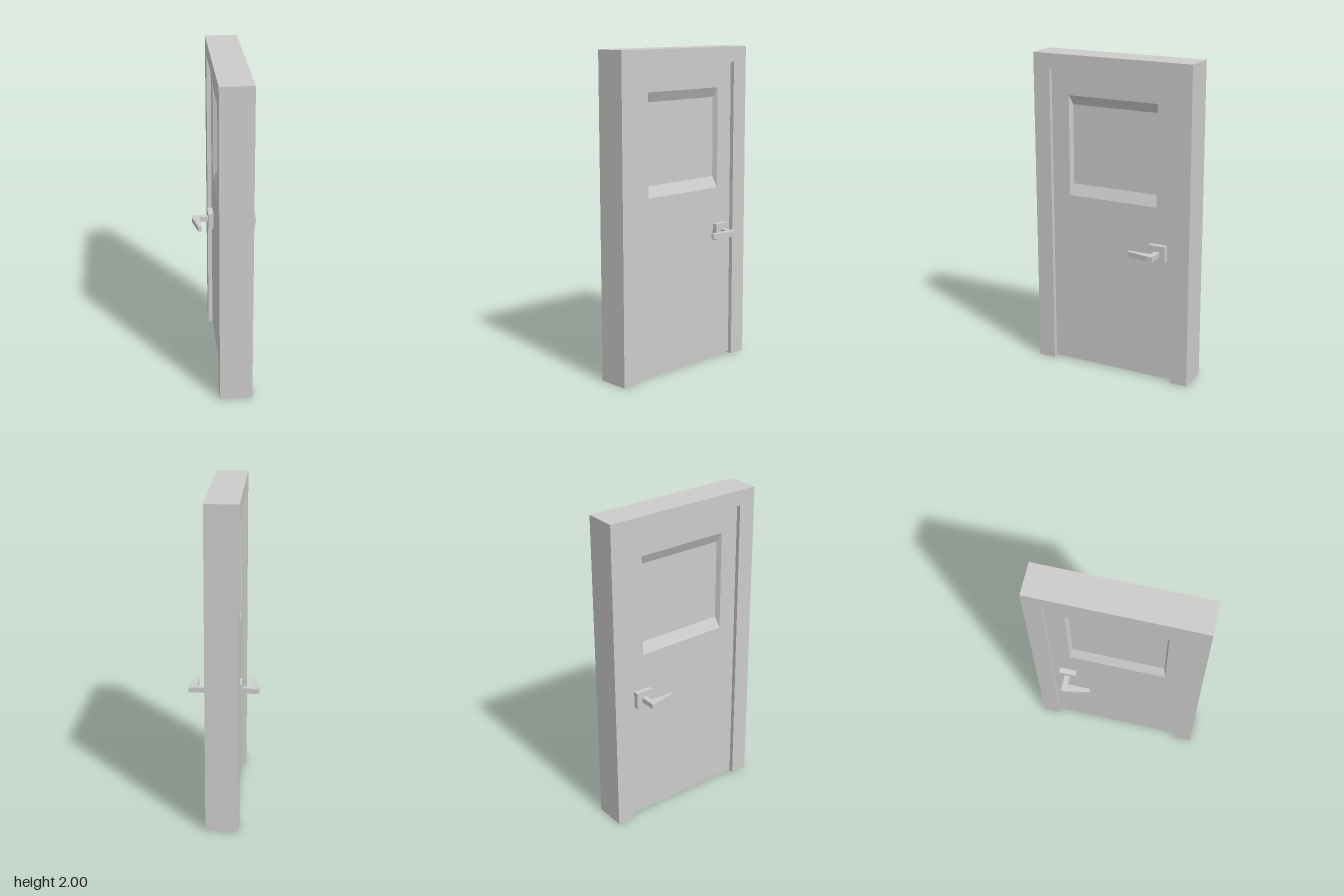
import * as THREE from 'three';

const grey = new THREE.MeshStandardMaterial({ color: 0xcccccc, flatShading: true });

function part(name, geometry, parent) {
  const mesh = new THREE.Mesh(geometry, grey);
  mesh.name = name;
  parent.add(mesh);
  return mesh;
}

const outline = (points) => points.map(([x, y]) => new THREE.Vector2(x, y));
const rect = (w, y0, y1) => outline([[-w, y0], [w, y0], [w, y1], [-w, y1]]);
const extrude = (shape, depth) => new THREE.ExtrudeGeometry(shape, { depth, bevelEnabled: false });

const LEAF = { w: 0.415, y0: 0.01, y1: 1.905, half: 0.073 };
const OUTER = { w: 0.297, y0: 1.12, y1: 1.75 }; // window rim at the leaf surface
const INNER = { w: 0.284, y0: 1.19, y1: 1.69 }; // window rim at the pane
const RECESS = 0.03;

// Leaf skin with a window opening whose sides slope inwards to the pane
function leafSkin(side) {
  const shape = new THREE.Shape(rect(LEAF.w, LEAF.y0, LEAF.y1));
  shape.holes.push(new THREE.Path(rect(OUTER.w, OUTER.y0, OUTER.y1)));
  const geo = extrude(shape, RECESS);
  const pos = geo.attributes.position;
  for (let i = 0; i < pos.count; i++) {
    const x = pos.getX(i), y = pos.getY(i);
    if (pos.getZ(i) > RECESS / 2 || Math.abs(x) > OUTER.w + 0.001) continue;
    pos.setXY(i, Math.sign(x) * INNER.w, y < 1.4 ? INNER.y0 : INNER.y1);
  }
  geo.computeVertexNormals();
  geo.rotateY(side * Math.PI / 2);
  geo.translate(side * (LEAF.half - RECESS), 0, 0);
  return geo;
}

// Square plate and angled, tapering lever
function handle(side) {
  const group = new THREE.Group();
  group.name = side > 0 ? 'leftHandle' : 'rightHandle';

  const plate = part('handlePlate', new THREE.BoxGeometry(0.035, 0.105, 0.108), group);
  plate.position.set(side * 0.0895, 0.838, -0.315);

  const profile = [
    [0.1, 0.334], [0.21, 0.334], [0.21, 0.3], [0.18, 0.156], [0.16, 0.156], [0.16, 0.3], [0.1, 0.3],
  ].map(([x, z]) => [side * x, z]);
  const lever = extrude(new THREE.Shape(outline(profile)), 0.033);
  lever.rotateX(-Math.PI / 2);
  lever.translate(0, 0.821, 0);
  part('lever', lever, group);
  return group;
}

export function createModel() {
  const model = new THREE.Group();
  model.name = 'door';

  // Surround, open at the bottom
  const frame = extrude(new THREE.Shape(outline([
    [-0.525, 0], [-LEAF.w, 0], [-LEAF.w, LEAF.y1], [LEAF.w, LEAF.y1],
    [LEAF.w, 0], [0.525, 0], [0.525, 2], [-0.525, 2],
  ])), 0.2);
  frame.translate(0, 0, -0.1);
  frame.rotateY(Math.PI / 2);
  part('frame', frame, model);

  // Leaf core, also forming the recessed window pane
  const core = part('leafCore', new THREE.BoxGeometry(
    2 * (LEAF.half - RECESS), LEAF.y1 - LEAF.y0, 2 * LEAF.w), model);
  core.position.y = (LEAF.y0 + LEAF.y1) / 2;

  for (const side of [1, -1]) {
    part(side > 0 ? 'leftLeafSkin' : 'rightLeafSkin', leafSkin(side), model);
    model.add(handle(side));
  }
  return model;
}
